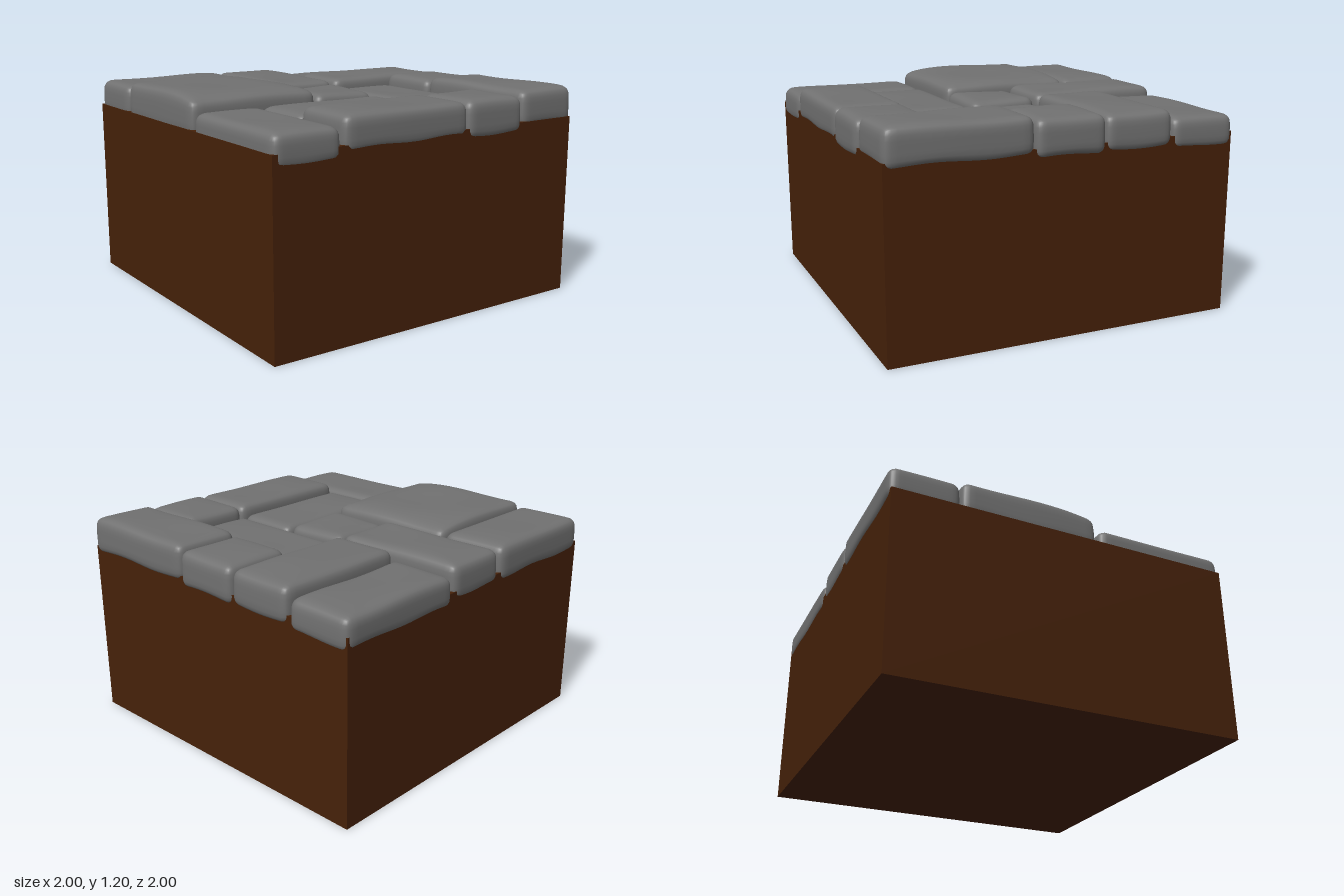
import * as THREE from 'three';
import { mergeVertices } from 'three/addons/utils/BufferGeometryUtils.js';

// Paving stones: x min, x max, z min, z max, bottom, top, sag of the front and left edges
const STONES = [
  [-0.99, -0.61, 0.21, 0.99, 0.94, 1.12, 0],
  [-0.59, 0.2, 0.6, 0.99, 0.975, 1.17, 0],
  [0.2, 0.59, 0.6, 0.995, 0.96, 1.17, 0],
  [0.6, 0.99, 0.2, 0.985, 0.985, 1.195, 0],
  [0.6, 0.995, -0.2, 0.195, 0.965, 1.175, 0],
  [0.2, 0.99, -0.6, -0.205, 0.965, 1.17, 0],
  [0.2, 0.985, -0.99, -0.61, 0.94, 1.12, 0],
  [-0.2, 0.185, -0.99, -0.21, 0.965, 1.165, 0],
  [-0.99, -0.215, -0.995, -0.61, 0.97, 1.17, 0],
  [-0.99, -0.21, -0.6, 0.19, 0.97, 1.2, 0.025],
  [-0.2, 0.185, -0.2, 0.19, 0.96, 1.14, 0],
  [0.2, 0.59, -0.19, 0.59, 0.94, 1.115, 0],
  [-0.59, 0.195, 0.21, 0.59, 0.94, 1.12, 0],
];

// Softly rounded, slightly uneven block with smooth normals
function stoneGeometry(w, h, d, sag, seed) {
  const r = 0.05, half = new THREE.Vector3(w / 2, h / 2, d / 2);
  let geo = new THREE.BoxGeometry(2, 2, 2, 20, 10, 20);
  geo.deleteAttribute('normal');
  geo.deleteAttribute('uv');
  geo = mergeVertices(geo);
  const inner = half.clone().subScalar(r), outer = inner.clone().negate();
  const p = new THREE.Vector3(), core = new THREE.Vector3();
  const pos = geo.attributes.position;
  for (let i = 0; i < pos.count; i++) {
    p.fromBufferAttribute(pos, i);
    // crowd the grid towards the edges, then round them
    for (const a of ['x', 'y', 'z']) p[a] = Math.sin(p[a] * Math.PI / 2) * half[a];
    core.copy(p).clamp(outer, inner);
    p.sub(core).setLength(r).add(core);
    // worn outline, wavy underside and gently dished top
    const u = p.x / half.x, v = p.z / half.z, t = p.y / half.y;
    const wave = Math.sin(p.x * 9 + seed * 1.7) * Math.sin(p.z * 8 + seed * 2.3);
    const k = 1 - 0.012 * Math.max(0, t);
    p.x *= k - 0.003 * (1 + Math.sin(p.z * 10 + seed));
    p.z *= k - 0.003 * (1 + Math.sin(p.x * 10 + seed * 3));
    if (t > 0) {
      p.y -= t * (0.005 + 0.005 * wave + 0.008 * Math.max(u ** 4, v ** 4));
      p.y -= t * sag * Math.max(0, u, v) ** 4;
    } else p.y -= t * (0.007 + 0.007 * Math.sin(p.x * 13 + p.z * 11 + seed));
    pos.setXYZ(i, p.x, p.y, p.z);
  }
  geo.computeVertexNormals();
  return geo;
}

export function createModel() {
  const model = new THREE.Group();
  model.name = 'pavedGroundBlock';
  const soil = new THREE.MeshStandardMaterial({ color: 0x462109 });
  const darkStone = new THREE.MeshStandardMaterial({ color: 0x717171 });

  // Solid earth block
  const earth = new THREE.Mesh(new THREE.BoxGeometry(1.975, 1.02, 1.975), soil);
  earth.name = 'earthBlock';
  earth.position.set(-0.01, 0.51, 0);
  model.add(earth);

  // Stones set into the top
  const paving = new THREE.Group();
  paving.name = 'paving';
  STONES.forEach(([x0, x1, z0, z1, y0, y1, sag], i) => {
    const geometry = stoneGeometry(x1 - x0 + 0.01, y1 - y0 + 0.01, z1 - z0 + 0.01, sag, i + 1);
    const stone = new THREE.Mesh(geometry, darkStone);
    stone.name = `pavingStone${i + 1}`;
    stone.position.set((x0 + x1) / 2, (y0 + y1) / 2, (z0 + z1) / 2);
    paving.add(stone);
  });
  model.add(paving);
  return model;
}
